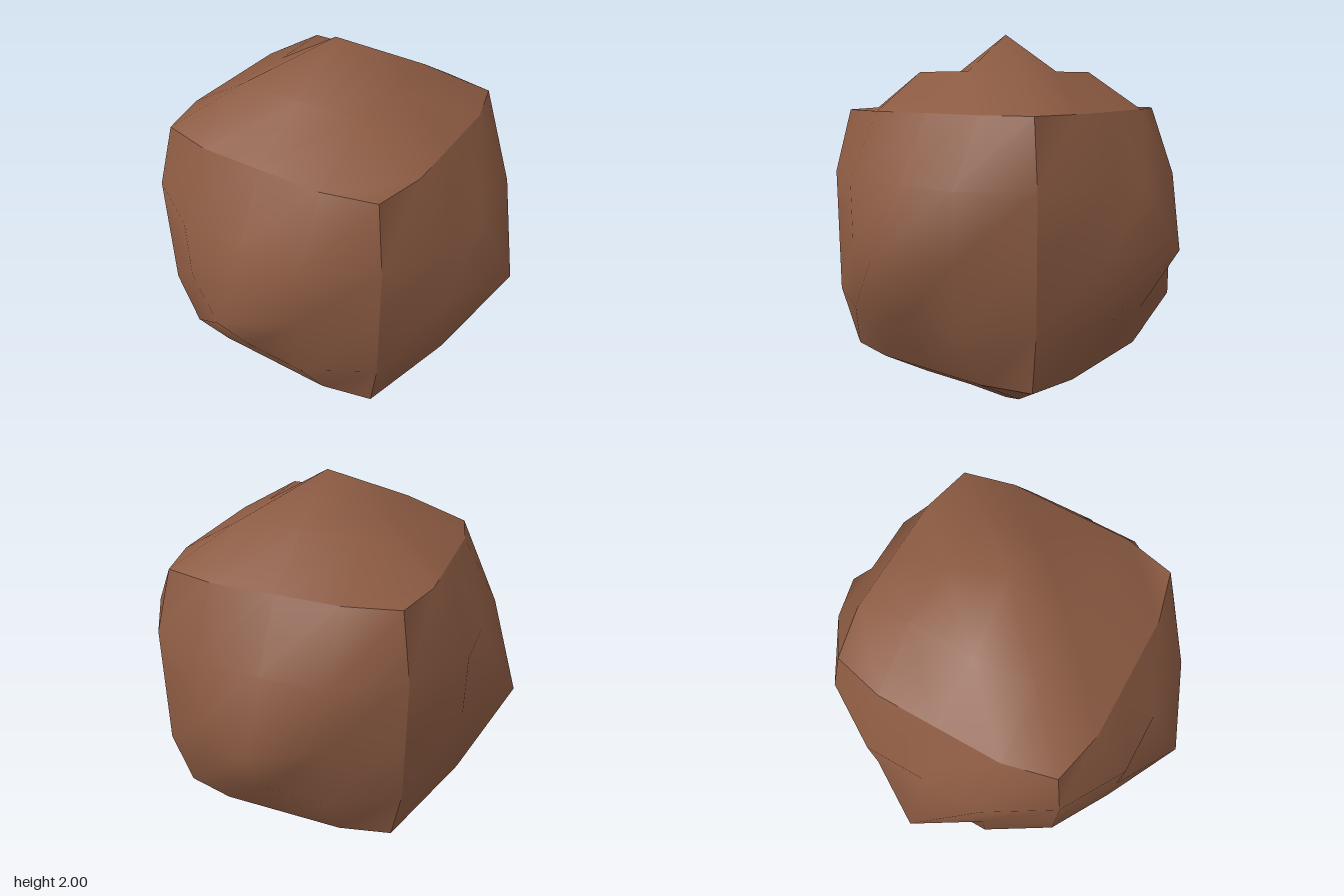
import * as THREE from 'three';

const HALF = 0.625;   // half width of the block before it bulges
const BULGE = 0.375;  // how far each face centre is raised
const CORNER = 0.565; // horizontal position of the drawn-in corners

// Raise each face to a shallow point and draw the eight corners inward.
function shapeBlock(geometry) {
  const pos = geometry.attributes.position;
  const nor = geometry.attributes.normal;
  const p = new THREE.Vector3();
  const n = new THREE.Vector3();
  for (let i = 0; i < pos.count; i++) {
    p.fromBufferAttribute(pos, i);
    n.fromBufferAttribute(nor, i).round();
    const inPlane = p.clone().addScaledVector(n, -p.dot(n));
    const reach = Math.max(...inPlane.toArray().map(Math.abs)) / HALF;
    const isCorner = p.toArray().every((c) => Math.abs(c) > HALF - 0.01);
    p.addScaledVector(n, BULGE * (1 - reach));
    if (isCorner) {
      p.x = Math.sign(p.x) * CORNER;
      p.z = Math.sign(p.z) * CORNER;
    }
    pos.setXYZ(i, p.x, p.y, p.z);
  }
}

// Turn the diagonals of the underside's squares the other way.
function turnUnderside(geometry) {
  const index = geometry.index;
  const { start, count } = geometry.groups[3];
  for (let i = start; i < start + count; i += 6) {
    const [a, b, c, d] = [0, 1, 4, 5].map((k) => index.getX(i + k));
    [a, b, c, a, c, d].forEach((v, k) => index.setX(i + k, v));
  }
}

export function createModel() {
  const group = new THREE.Group();
  group.name = 'boulder';

  // Six bulging faces, each smooth, with creases where they meet
  const geometry = new THREE.BoxGeometry(2 * HALF, 2 * HALF, 2 * HALF, 4, 4, 4);
  shapeBlock(geometry);
  turnUnderside(geometry);
  geometry.clearGroups();
  geometry.computeVertexNormals();

  const rock = new THREE.Mesh(geometry, new THREE.MeshStandardMaterial({ color: 0x8b5a42 }));
  rock.name = 'rock';
  rock.position.y = 1;
  group.add(rock);
  return group;
}
